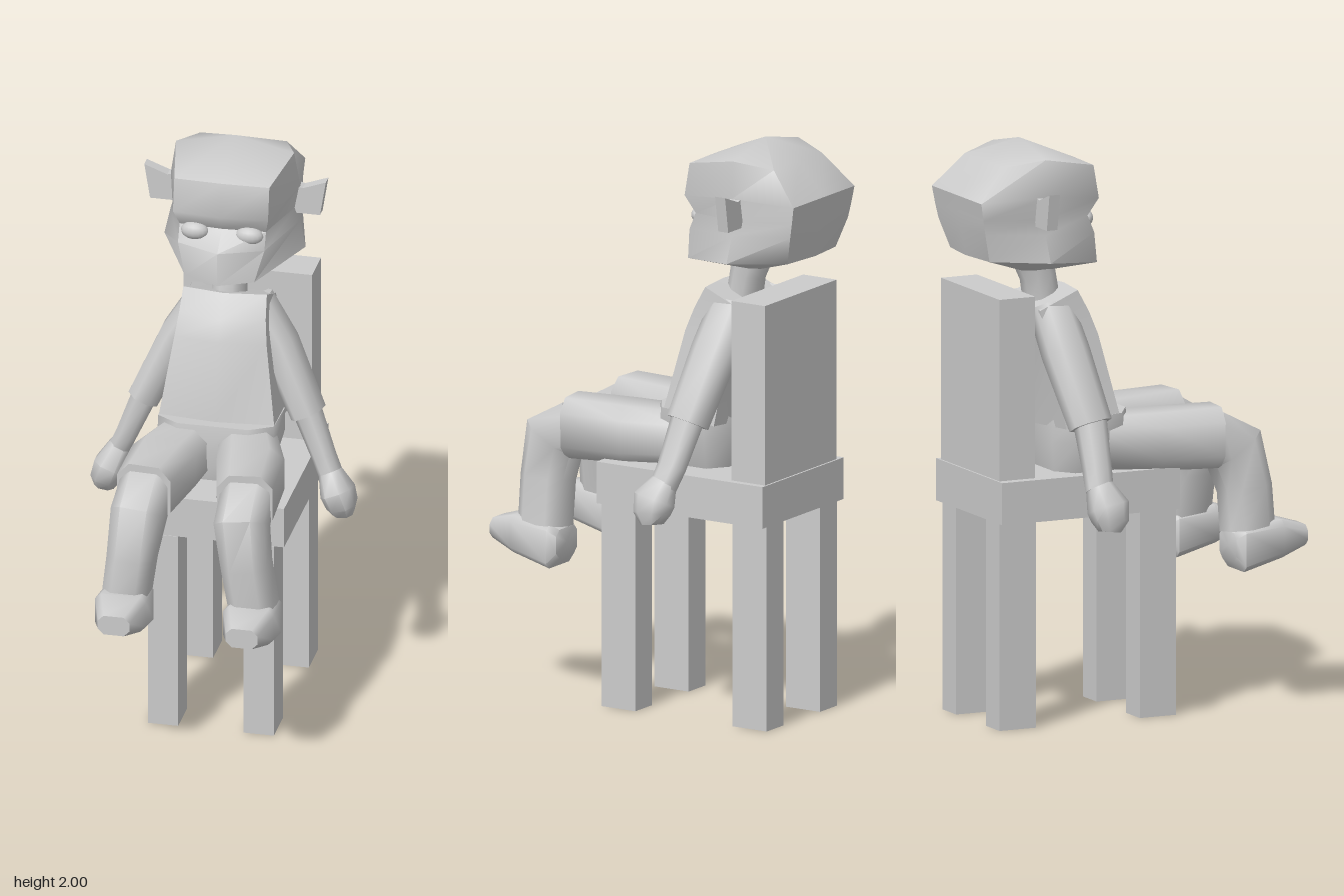
import * as THREE from 'three';
import { toCreasedNormals } from 'three/addons/utils/BufferGeometryUtils.js';

const V = (x, y, z) => new THREE.Vector3(x, y, z);
const material = new THREE.MeshStandardMaterial({ color: 0xcccccc });

function add(parent, name, geometry, x = 0, y = 0, z = 0) {
  const mesh = new THREE.Mesh(geometry, material);
  mesh.name = name;
  mesh.position.set(x, y, z);
  parent.add(mesh);
  return mesh;
}

// Closed skin over a row of equal rings; the ends are fans to a cap point.
function loft(rings, startCap, endCap, crease = 1) {
  const n = rings[0].length;
  const mean = (r) => r.reduce((s, p) => s.add(p), V(0, 0, 0)).divideScalar(n);
  const last = rings.length - 1;
  const pts = [...rings.flat(), startCap || mean(rings[0]), endCap || mean(rings[last])];
  const a0 = pts.length - 2, a1 = pts.length - 1;
  const tris = [];
  for (let j = 0; j < n; j++) {
    const k = (j + 1) % n;
    for (let i = 0; i < last; i++) {
      const a = i * n + j, b = i * n + k, c = a + n, d = b + n;
      tris.push([a, b, d], [a, d, c]);
    }
    tris.push([a0, k, j], [a1, last * n + j, last * n + k]);
  }
  // Signed volume tells whether the faces point outward
  const vol = tris.reduce((s, [a, b, c]) => s + pts[a].dot(V(0, 0, 0).crossVectors(pts[b], pts[c])), 0);
  const index = tris.flatMap(([a, b, c]) => (vol > 0 ? [a, b, c] : [a, c, b]));
  const geo = new THREE.BufferGeometry().setFromPoints(pts);
  geo.setIndex(index);
  return toCreasedNormals(geo, crease);
}

// Limb through stations [x, y, z, half-width along ref, half-width across].
function limb(stations, ref, square = 0.8, sides = 8) {
  const centres = stations.map((s) => V(s[0], s[1], s[2]));
  const pow = (v) => Math.sign(v) * Math.pow(Math.abs(v), square);
  const rings = stations.map((s, i) => {
    const next = centres[Math.min(i + 1, centres.length - 1)];
    const prev = centres[Math.max(i - 1, 0)];
    const t = next.clone().sub(prev).normalize();
    const u = ref.clone().addScaledVector(t, -ref.dot(t)).normalize();
    const v = V(0, 0, 0).crossVectors(t, u);
    return Array.from({ length: sides }, (_, k) => {
      const a = ((k + 0.5) / sides) * Math.PI * 2;
      return centres[i].clone()
        .addScaledVector(u, pow(Math.cos(a)) * s[3] * 1.05)
        .addScaledVector(v, pow(Math.sin(a)) * s[4] * 1.05);
    });
  });
  return loft(rings);
}

// Full ring from a half outline running from front centre to back centre.
function mirrorRing(half) {
  const right = half.map((p) => V(...p));
  const left = half.slice(1, -1).reverse().map(([x, y, z]) => V(-x, y, z));
  return [...right, ...left];
}

function buildChair() {
  const chair = new THREE.Group();
  chair.name = 'chair';
  add(chair, 'seat', new THREE.BoxGeometry(0.505, 0.145, 0.67), 0.047, 0.787, -0.207);
  add(chair, 'backrest', new THREE.BoxGeometry(0.447, 0.625, 0.135), 0.052, 1.172, -0.468);
  for (const x of [-0.12, 0.212])
    for (const z of [0.062, -0.467])
      add(chair, 'chairLeg', new THREE.BoxGeometry(0.105, 0.715, 0.137), x, 0.3575, z);
  return chair;
}

function buildHead() {
  const head = new THREE.Group();
  head.name = 'head';
  head.position.x = 0.015;
  // Jaw, mouth, eye line, brow and hairline
  const rings = [
    [[0, 1.56, -0.1], [0.12, 1.57, -0.135], [0.245, 1.605, -0.37], [0.15, 1.61, -0.555], [0, 1.61, -0.57]],
    [[0, 1.68, -0.1], [0.15, 1.68, -0.16], [0.225, 1.7, -0.38], [0.18, 1.71, -0.585], [0, 1.71, -0.59]],
    [[0, 1.74, -0.175], [0.15, 1.74, -0.185], [0.21, 1.75, -0.38], [0.185, 1.76, -0.595], [0, 1.76, -0.595]],
    [[0, 1.8, -0.135], [0.165, 1.8, -0.15], [0.225, 1.83, -0.38], [0.19, 1.82, -0.605], [0, 1.82, -0.605]],
    [[0, 1.915, -0.165], [0.165, 1.915, -0.17], [0.205, 1.955, -0.37], [0.15, 1.93, -0.5], [0, 1.93, -0.505]],
  ].map(mirrorRing);
  add(head, 'skull', loft(rings, V(0, 1.53, -0.33), V(0, 2, -0.37), 0.9));

  for (const s of [-1, 1]) {
    const outline = [[0.17, 1.73], [0.295, 1.73], [0.315, 1.855], [0.235, 1.825], [0.18, 1.84]];
    const shape = new THREE.Shape(outline.map(([x, y]) => new THREE.Vector2(s * x, y)));
    add(head, 'ear', new THREE.ExtrudeGeometry(shape, { depth: 0.04, bevelEnabled: false }), 0, 0, -0.41);
    const eye = add(head, 'eye', new THREE.SphereGeometry(1, 16, 10), s * 0.095, 1.725, -0.175);
    eye.scale.set(0.048, 0.032, 0.03);
  }
  return head;
}

function buildTorso() {
  const torso = new THREE.Group();
  torso.name = 'torso';
  torso.position.x = 0.015;
  // Shirt from hem to shoulders
  const shirt = [
    [[0, 1.06, -0.07], [0.2, 1.06, -0.09], [0.2, 1.02, -0.29], [0, 1.01, -0.31]],
    [[0, 1.34, -0.105], [0.16, 1.33, -0.15], [0.16, 1.3, -0.33], [0, 1.29, -0.345]],
    [[0, 1.41, -0.14], [0.15, 1.41, -0.18], [0.15, 1.37, -0.35], [0, 1.37, -0.365]],
    [[0, 1.485, -0.2], [0.145, 1.485, -0.22], [0.145, 1.425, -0.36], [0, 1.425, -0.37]],
  ].map(mirrorRing);
  add(torso, 'shirt', loft(shirt));
  add(torso, 'neck', limb([[0, 1.43, -0.285, 0.06, 0.06], [0, 1.52, -0.3, 0.055, 0.06], [0, 1.6, -0.33, 0.06, 0.065]], V(1, 0, 0), 1));
  add(torso, 'hips', limb([
    [0, 0.86, -0.16, 0.17, 0.13], [0, 0.97, -0.16, 0.2, 0.145], [0, 1.055, -0.165, 0.2, 0.135],
  ], V(1, 0, 0), 0.55));
  return torso;
}

// Arm on side s; dz shifts the hand along z, dy its height.
function buildArm(s, name, dz, dy) {
  const arm = new THREE.Group();
  arm.name = name;
  const c = 0.015, ref = V(0, 0, 1);
  add(arm, 'sleeve', limb([
    [c + s * 0.09, 1.425, -0.295, 0.075, 0.055], [c + s * 0.175, 1.28, -0.28, 0.08, 0.06],
    [c + s * 0.285, 1.045, -0.24, 0.072, 0.055],
  ], ref));
  add(arm, 'forearm', limb([
    [c + s * 0.275, 1.07, -0.24, 0.055, 0.045], [c + s * 0.345, 0.9, -0.215 + dz * 0.6, 0.048, 0.037],
    [c + s * 0.375, 0.835, -0.2 + dz, 0.045, 0.037],
  ], ref));
  add(arm, 'hand', limb([
    [c + s * 0.37, 0.85, -0.2 + dz, 0.045, 0.037], [c + s * 0.4, 0.79 + dy, -0.18 + dz, 0.07, 0.055],
    [c + s * 0.415, 0.745 + dy, -0.18 + dz, 0.06, 0.05], [c + s * 0.42, 0.71 + dy, -0.185 + dz, 0.035, 0.035],
  ], ref));
  return arm;
}

// Leg from hip x to knee x to foot x; dy and dz shift the foot, dz the shin.
function buildLeg(name, hip, knee, foot, dy, dz) {
  const leg = new THREE.Group();
  leg.name = name;
  const ref = V(1, 0, 0);
  add(leg, 'shortsLeg', limb([
    [hip, 0.95, -0.15, 0.095, 0.09], [(hip + knee) / 2 + Math.sign(knee) * 0.015, 0.95, 0.07, 0.115, 0.1],
    [knee, 0.947, 0.29, 0.095, 0.105],
  ], ref, 0.65));
  add(leg, 'shin', limb([
    [knee, 0.945, 0.26, 0.085, 0.095], [knee + (foot - knee) * 0.1, 0.9, 0.355, 0.088, 0.1],
    [(knee + foot) / 2, 0.76, 0.37 + dz * 0.5, 0.08, 0.085], [foot, 0.6 + dy, 0.365 + dz * 0.7, 0.078, 0.085],
  ], ref, 0.7));
  // Shoe sections: z, sole y, top y, half width
  const shoe = [
    [0.28, 0.5, 0.6, 0.065], [0.31, 0.465, 0.62, 0.082], [0.45, 0.505, 0.635, 0.088], [0.555, 0.535, 0.605, 0.055],
  ].map(([z, y0, y1, w]) => {
    const b = 0.02;
    return [[w, y0 + b], [w, y1 - b], [w - b, y1], [b - w, y1], [-w, y1 - b], [-w, y0 + b], [b - w, y0], [w - b, y0]]
      .map(([x, y]) => V(foot + x, y + dy, z + dz));
  });
  add(leg, 'shoe', loft(shoe, null, null, 0.9));
  return leg;
}

export function createModel() {
  const model = new THREE.Group();
  model.name = 'seatedFigure';
  model.add(
    buildChair(), buildHead(), buildTorso(),
    buildArm(1, 'leftArm', 0, 0), buildArm(-1, 'rightArm', -0.05, -0.01),
    buildLeg('leftLeg', 0.11, 0.2, 0.25, 0, 0), buildLeg('rightLeg', -0.08, -0.15, -0.185, 0.02, 0.04),
  );
  return model;
}
